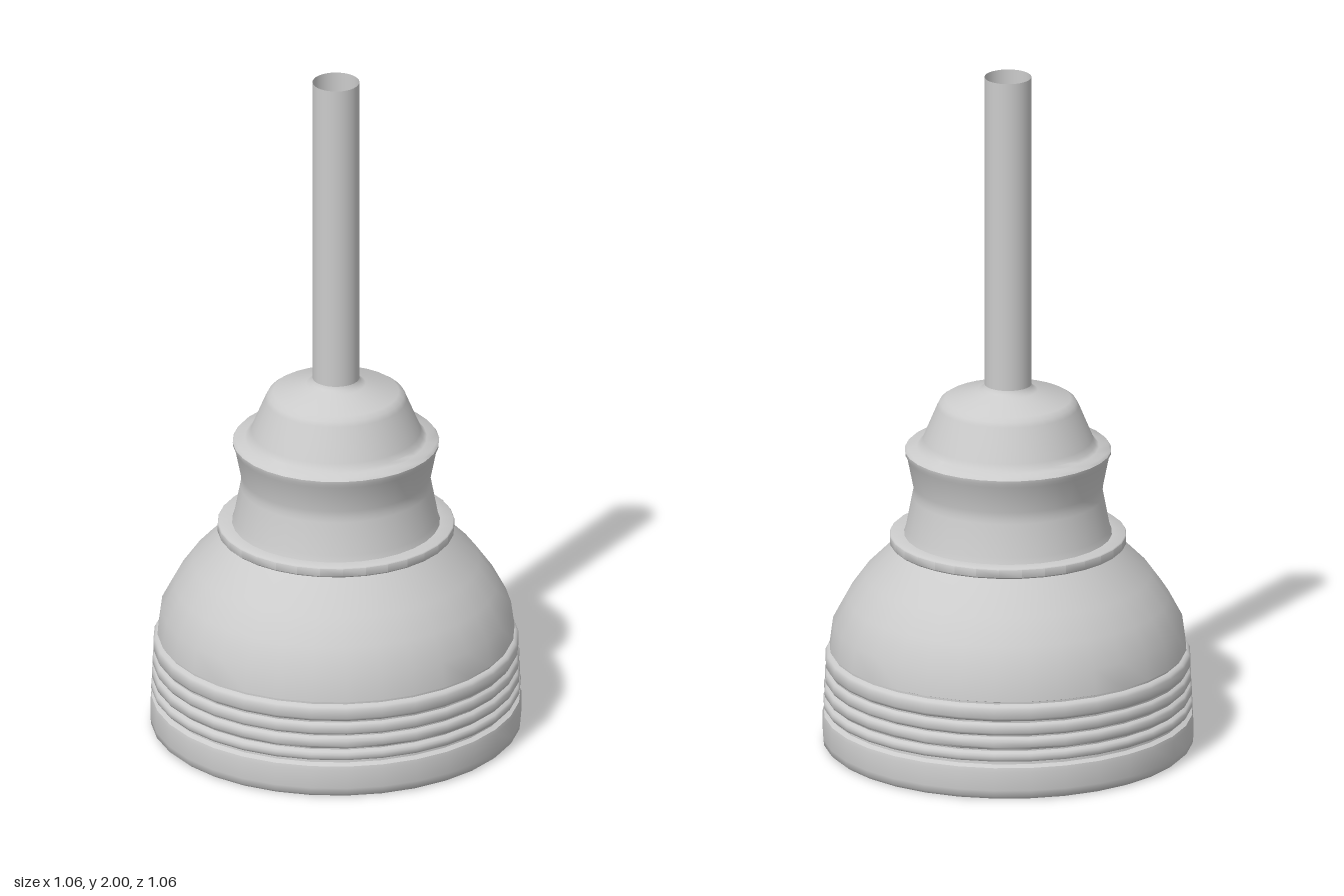
import * as THREE from 'three';
import { toCreasedNormals } from 'three/addons/utils/BufferGeometryUtils.js';

const material = new THREE.MeshStandardMaterial({ color: 0xcccccc, side: THREE.DoubleSide });

// Turned part from [radius, height] pairs, listed so the outside runs upward
function turned(name, profile) {
  const points = profile.map(([r, y]) => new THREE.Vector2(r, y));
  const mesh = new THREE.Mesh(toCreasedNormals(new THREE.LatheGeometry(points, 32), 0.8), material);
  mesh.name = name;
  return mesh;
}

export function createModel() {
  const group = new THREE.Group();
  group.name = 'pendantLamp';

  // Shade: thin inner wall down to the rounded rim, then the ribbed band and dome outside
  const inner = [
    [0, 0.605], [0.25, 0.605], [0.3, 0.598], [0.396, 0.502], [0.446, 0.433], [0.485, 0.36],
    [0.493, 0.28], [0.488, 0.1], [0.482, 0.03], [0.486, 0.012], [0.498, 0.003],
  ];
  const band = [[0.518, 0.003], [0.528, 0.012], [0.53, 0.03], [0.53, 0.085], [0.527, 0.097], [0.513, 0.104]];
  const ribs = [[0.112, 0.144, 0.528], [0.148, 0.186, 0.526], [0.19, 0.228, 0.524], [0.233, 0.28, 0.522]];
  for (const [low, high, r] of ribs) {
    band.push([0.512, low], [r - 0.004, low + 0.004], [r, low + 0.011], [r, high - 0.011], [r - 0.004, high - 0.004], [0.512, high]);
  }
  const dome = [[0.505, 0.282], [0.505, 0.288], [0.51, 0.29], [0.5, 0.365], [0.46, 0.44], [0.41, 0.51], [0.31, 0.61]];
  group.add(turned('shade', [...inner, ...band, ...dome]));

  // Flat ring between the shade and the neck
  group.add(turned('collarRing', [
    [0.28, 0.602], [0.334, 0.602], [0.338, 0.606], [0.338, 0.629], [0.335, 0.632], [0.28, 0.632],
  ]));

  // Waisted neck with a lip, running into the sloped cap that meets the cable
  group.add(turned('neckAndCap', [
    [0.297, 0.632], [0.291, 0.65], [0.273, 0.745], [0.27, 0.76], [0.272, 0.78], [0.288, 0.86],
    [0.294, 0.872], [0.295, 0.882], [0.288, 0.89], [0.26, 0.892], [0.25, 0.9], [0.242, 0.916],
    [0.202, 1.012], [0.195, 1.025], [0.18, 1.035], [0.085, 1.061], [0.072, 1.068], [0.067, 1.078],
  ]));

  // Hollow cable sleeve, open at the top
  const cable = new THREE.Mesh(new THREE.CylinderGeometry(0.067, 0.067, 0.94, 32, 1, true), material);
  cable.name = 'cable';
  cable.position.y = 1.53;
  group.add(cable);

  return group;
}
